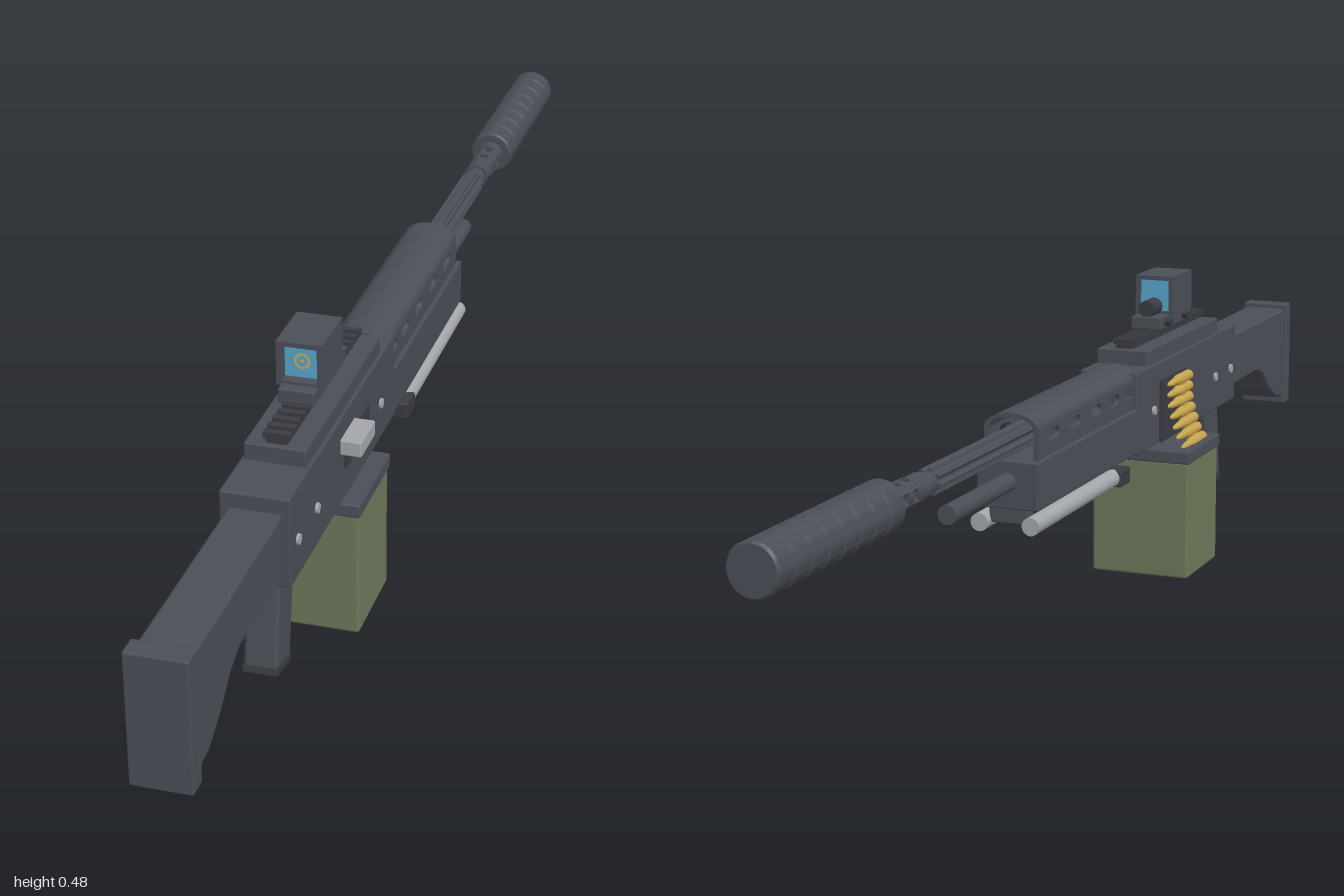
import * as THREE from 'three';
import { RoundedBoxGeometry } from 'three/addons/geometries/RoundedBoxGeometry.js';
import { toCreasedNormals } from 'three/addons/utils/BufferGeometryUtils.js';

const CX = 0.012;      // centre plane of the gun
const BORE = 0.326;    // height of the barrel axis

export function createModel() {
  const root = new THREE.Group();
  root.name = 'machineGun';
  const mat = (name, color, side = THREE.FrontSide) => {
    const m = new THREE.MeshStandardMaterial({ color, side });
    m.name = name;
    return m;
  };
  const gunmetal = mat('gunmetal', 0x4b4e57);
  const black = mat('blackMetal', 0x3a3c43);
  const steel = mat('steel', 0xa3a6ab);
  const olive = mat('olive', 0x6c795b);
  const brass = mat('brass', 0xc6a44c);
  const glass = mat('blueGlass', 0x58a6cc, THREE.DoubleSide);
  const amber = mat('amberReticle', 0xe0ac40, THREE.DoubleSide);

  const add = (name, geo, material, parent = root) => {
    const m = new THREE.Mesh(geo, material);
    m.name = name;
    parent.add(m);
    return m;
  };
  // Softened box given by its limits
  const box = (name, m, x0, x1, y0, y1, z0, z1, r = 0.003) => {
    const w = x1 - x0, h = y1 - y0, d = z1 - z0;
    const g = r ? new RoundedBoxGeometry(w, h, d, 1, r) : new THREE.BoxGeometry(w, h, d);
    g.translate((x0 + x1) / 2, (y0 + y1) / 2, (z0 + z1) / 2);
    return add(name, g, m);
  };
  // Box centred on the gun's plane
  const mid = (name, m, w, y0, y1, z0, z1, r) => box(name, m, CX - w / 2, CX + w / 2, y0, y1, z0, z1, r);
  // Rod along z
  const rod = (name, m, r, x, y, z0, z1, n = 20) => {
    const g = new THREE.CylinderGeometry(r, r, z1 - z0, n);
    g.rotateX(Math.PI / 2).translate(x, y, (z0 + z1) / 2);
    return add(name, g, m);
  };
  // Rod along x
  const pin = (name, m, r, x0, x1, y, z, n = 12) => {
    const g = new THREE.CylinderGeometry(r, r, x1 - x0, n);
    g.rotateZ(Math.PI / 2).translate((x0 + x1) / 2, y, z);
    return add(name, g, m);
  };
  const poly = (pts) => new THREE.Shape(pts.map((p) => new THREE.Vector2(...p)));
  // Side outline of (z, y) points given thickness across x
  const side = (name, m, shape, width, x = CX, bevel = 0) => {
    const g = new THREE.ExtrudeGeometry(shape, {
      depth: width - 2 * bevel, bevelEnabled: bevel > 0, bevelSize: bevel,
      bevelThickness: bevel, bevelOffset: -bevel, bevelSegments: 1,
    });
    g.translate(0, 0, -(width - 2 * bevel) / 2).rotateY(-Math.PI / 2).translate(x, 0, 0);
    return add(name, g, m);
  };

  // Stock and butt plate
  side('stock', gunmetal, poly([[0.975, 0.165], [0.93, 0.17], [0.885, 0.195], [0.845, 0.228], [0.81, 0.242],
    [0.63, 0.242], [0.63, 0.334], [0.975, 0.334]]), 0.074, CX, 0.004);
  mid('buttPlate', gunmetal, 0.083, 0.152, 0.342, 0.968, 1.0);

  // Receiver and top cover
  mid('receiver', gunmetal, 0.096, 0.224, 0.357, 0.14, 0.64);
  mid('topCover', gunmetal, 0.087, 0.35, 0.382, 0.2, 0.553);
  for (const z of [0.61, 0.527, 0.217]) pin('receiverPin', steel, 0.0075, CX - 0.052, CX + 0.052, 0.283, z);
  box('ejectionPort', black, 0.055, 0.064, 0.275, 0.317, 0.285, 0.4, 0);
  box('chargingHandle', steel, 0.05, 0.09, 0.302, 0.326, 0.345, 0.415);
  box('feedPort', black, -0.04, -0.03, 0.225, 0.327, 0.245, 0.37, 0);

  // Accessory rail
  mid('railBase', black, 0.03, 0.38, 0.39, 0.21, 0.545, 0);
  for (let i = 0; i < 17; i++) {
    const z = 0.212 + i * 0.0201;
    mid('railTooth', black, 0.038, 0.388, 0.397, z, z + 0.0115, 0);
  }

  // Reflex sight
  mid('sightBase', gunmetal, 0.052, 0.396, 0.418, 0.31, 0.46);
  const frame = poly([[-0.0325, 0.415], [0.0325, 0.415], [0.0325, 0.48], [-0.0325, 0.48]]);
  frame.holes.push(new THREE.Path([[-0.025, 0.422], [-0.025, 0.473], [0.025, 0.473], [0.025, 0.422]]
    .map((p) => new THREE.Vector2(...p))));
  add('sightHood', new THREE.ExtrudeGeometry(frame, { depth: 0.094, bevelEnabled: false })
    .translate(CX, 0, 0.35), gunmetal);
  for (const z of [0.356, 0.428]) {
    add('sightLens', new THREE.PlaneGeometry(0.051, 0.052).translate(CX, 0.4475, z), glass);
  }
  add('reticleRing', new THREE.RingGeometry(0.0085, 0.0115, 24).translate(CX, 0.447, 0.4295), amber);
  add('reticleDot', new THREE.CircleGeometry(0.0025, 12).translate(CX, 0.447, 0.4295), amber);
  rod('sightEmitter', black, 0.014, CX, 0.43, 0.312, 0.352);
  pin('sightKnob', black, 0.007, -0.024, -0.01, 0.408, 0.335);
  pin('sightClampScrew', black, 0.007, -0.024, -0.01, 0.408, 0.42);

  // Pistol grip
  side('grip', gunmetal, poly([[0.616, 0.235], [0.548, 0.235], [0.576, 0.08], [0.633, 0.088]]), 0.048, CX, 0.004);
  side('gripCap', black, poly([[0.633, 0.09], [0.576, 0.08], [0.578, 0.071], [0.635, 0.08]]), 0.049);

  // Trigger and its guard
  const guard = new THREE.CatmullRomCurve3([[0.56, 0.192], [0.53, 0.187], [0.49, 0.187], [0.466, 0.192], [0.46, 0.228]]
    .map(([z, y]) => new THREE.Vector3(CX, y, z)));
  add('triggerGuard', new THREE.TubeGeometry(guard, 20, 0.0045, 8), gunmetal);
  const trigger = new THREE.CatmullRomCurve3([[0.517, 0.23], [0.524, 0.212], [0.515, 0.194]]
    .map(([z, y]) => new THREE.Vector3(CX, y, z)));
  add('trigger', new THREE.TubeGeometry(trigger, 10, 0.005, 8), steel);

  // Lower handguard and gas tube
  mid('handguard', gunmetal, 0.096, 0.227, 0.299, -0.265, 0.15);
  rod('gasTube', gunmetal, 0.014, CX, 0.267, -0.47, -0.25);

  // Vented barrel shroud: slotted side plates under an arched roof
  for (const s of [-1, 1]) {
    const plate = poly([[-0.25, 0.296], [0.165, 0.296], [0.165, 0.345], [-0.25, 0.345]]);
    for (const z of [0.125, 0.058, -0.02, -0.105, -0.19]) {
      const slot = new THREE.Path();
      slot.absarc(z + 0.012, BORE + 0.002, 0.0085, -Math.PI / 2, Math.PI / 2, false);
      slot.absarc(z - 0.012, BORE + 0.002, 0.0085, Math.PI / 2, Math.PI * 1.5, false);
      slot.closePath();
      plate.holes.push(slot);
    }
    side('shroudSide', gunmetal, plate, 0.007, CX + s * 0.0385);
  }
  const arch = new THREE.Shape();
  arch.absellipse(0, 0.342, 0.042, 0.024, 0, Math.PI, false, 0);
  arch.absellipse(0, 0.342, 0.035, 0.018, Math.PI, 0, true, 0);
  add('shroudRoof', toCreasedNormals(new THREE.ExtrudeGeometry(arch, {
    depth: 0.415, bevelEnabled: false, curveSegments: 16,
  }).translate(CX, 0, -0.25), 0.6), gunmetal);

  // Fluted barrel
  const flutes = [];
  for (let i = 0; i < 32; i++) {
    const a = (i + 0.5) / 32 * Math.PI * 2, r = i % 4 < 2 ? 0.02 : 0.0155;
    flutes.push([Math.cos(a) * r, Math.sin(a) * r]);
  }
  add('barrel', new THREE.ExtrudeGeometry(poly(flutes), { depth: 0.56, bevelEnabled: false })
    .translate(CX, BORE, -0.53), gunmetal);
  rod('barrelEnd', gunmetal, 0.0155, CX, BORE, -0.57, -0.52);

  // Slotted flash hider
  rod('flashHiderCollar', gunmetal, 0.02, CX, BORE, -0.595, -0.555);
  rod('flashHiderBand', gunmetal, 0.02, CX, BORE, -0.622, -0.608);
  rod('flashHiderTip', gunmetal, 0.021, CX, BORE, -0.675, -0.643);
  for (let i = 0; i < 4; i++) {
    const a = Math.PI / 4 + i * Math.PI / 2;
    const prong = add('flashHiderProng', new THREE.BoxGeometry(0.008, 0.014, 0.07), gunmetal);
    prong.position.set(CX + Math.cos(a) * 0.0155, BORE + Math.sin(a) * 0.0155, -0.62);
    prong.rotation.z = a;
  }

  // Ribbed suppressor
  const ribs = [[0, 0], [0.033, 0], [0.036, 0.004]];
  for (let i = 1; i < 8; i++) {
    const t = i * 0.0415;
    ribs.push([0.036, t - 0.004], [0.0325, t - 0.002], [0.0325, t + 0.002], [0.036, t + 0.004]);
  }
  ribs.push([0.036, 0.331], [0.033, 0.335], [0, 0.335]);
  const can = new THREE.LatheGeometry(ribs.map((p) => new THREE.Vector2(...p)), 32);
  add('suppressor', toCreasedNormals(can.rotateX(Math.PI / 2).translate(CX, BORE, -1), 0.5), gunmetal);

  // Folded bipod
  for (const s of [-1, 1]) {
    const x = CX + s * 0.04;
    rod('bipodLeg', steel, 0.0135, x, 0.207, -0.275, 0.055);
    box('bipodFoot', black, x - 0.016, x + 0.016, 0.193, 0.219, 0.05, 0.093);
  }
  mid('bipodHinge', gunmetal, 0.06, 0.205, 0.23, -0.262, -0.235);

  // Ammunition box with lid
  box('ammoBox', olive, -0.088, 0.078, 0, 0.195, 0.24, 0.39, 0.005);
  box('ammoBoxLid', gunmetal, -0.091, 0.081, 0.193, 0.214, 0.235, 0.395);
  mid('magazineMount', black, 0.06, 0.21, 0.23, 0.27, 0.36, 0);

  // Belt of cartridges rising from the box to the feed port
  const shell = [[0, 0], [0.0085, 0], [0.0085, 0.058], [0.0058, 0.067], [0.0058, 0.078], [0.004, 0.095], [0, 0.104]];
  const round = toCreasedNormals(new THREE.LatheGeometry(shell.map((p) => new THREE.Vector2(...p)), 12)
    .rotateX(-Math.PI / 2).translate(0, 0, 0.363), 0.5);
  const belt = [[-0.045, 0.317], [-0.045, 0.299], [-0.046, 0.281], [-0.05, 0.263], [-0.055, 0.246],
    [-0.061, 0.23], [-0.07, 0.215]];
  belt.forEach(([x, y], i) => {
    add('cartridge', round, brass).position.set(x, y, 0);
    if (!i) return;
    // Link joining this round to the one above
    const [px, py] = belt[i - 1];
    const link = add('beltLink', new THREE.BoxGeometry(0.008, 0.02, 0.014), brass);
    link.position.set((x + px) / 2, (y + py) / 2, 0.33);
    link.rotation.z = Math.atan2(x - px, py - y);
  });

  return root;
}
